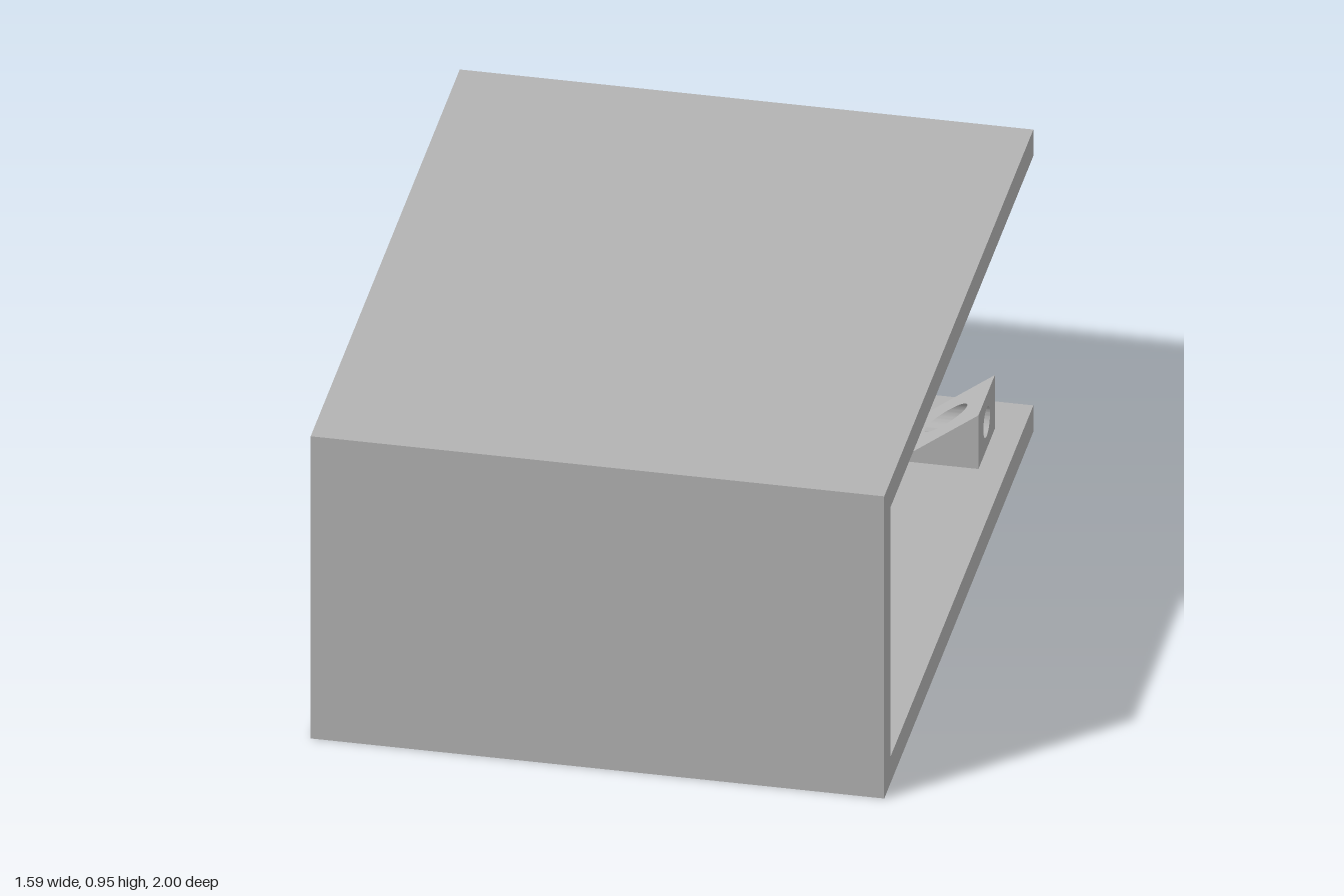
import * as THREE from 'three';
import { toCreasedNormals } from 'three/addons/utils/BufferGeometryUtils.js';

const W = 1.588, H = 0.951, D = 2, T = 0.083;           // outer size and wall thickness
const LUG = { width: 0.22, height: 0.169, length: 0.226, hole: 0.044 };

// Wedge with a through hole: flat face at x = 0, sloping down toward -x
function lugGeometry() {
  const { width, height, length, hole } = LUG;
  const shape = new THREE.Shape();
  shape.moveTo(-width / 2, 0);
  shape.lineTo(width / 2, 0);
  shape.lineTo(width / 2, height);
  shape.lineTo(-width / 2, height);
  shape.closePath();
  shape.holes.push(new THREE.Path().absarc(0, height / 2, hole, 0, Math.PI * 2, true));
  const geometry = new THREE.ExtrudeGeometry(shape, { depth: 1, bevelEnabled: false, curveSegments: 32 });

  // Lay the inner end onto the slope
  const p = geometry.attributes.position;
  for (let i = 0; i < p.count; i++) {
    p.setZ(i, p.getZ(i) > 0.5 ? 0 : -length * (1 - p.getY(i) / height));
  }
  geometry.rotateY(Math.PI / 2);
  return toCreasedNormals(geometry, 0.5);
}

export function createModel() {
  const model = new THREE.Group();
  model.name = 'openEnclosure';
  const grey = new THREE.MeshStandardMaterial({ color: 0xb2b2b2 });
  grey.name = 'grey';

  const add = (name, geometry, x, y, z) => {
    const mesh = new THREE.Mesh(geometry, grey);
    mesh.name = name;
    mesh.position.set(x, y, z);
    model.add(mesh);
    return mesh;
  };

  // Shell, open at the +x side and at the back
  const slab = new THREE.BoxGeometry(W, T, D);
  add('bottomPanel', slab, 0, T / 2, 0);
  add('topPanel', slab, 0, H - T / 2, 0);
  add('frontWall', new THREE.BoxGeometry(W, H - 2 * T, T), 0, H / 2, D / 2 - T / 2);
  add('sideWall', new THREE.BoxGeometry(T, H - 2 * T, D - T), -W / 2 + T / 2, H / 2, -T / 2);

  // Screw lugs along the open side; the upper pair is turned over and sunk into the top
  const lug = lugGeometry();
  const faceX = W / 2 - 0.077;
  for (const [end, z] of [['Front', 0.725], ['Back', -0.747]]) {
    add('lower' + end + 'Lug', lug, faceX, T, z);
    add('upper' + end + 'Lug', lug, faceX, 0.897, z).rotation.x = Math.PI;
  }
  return model;
}
